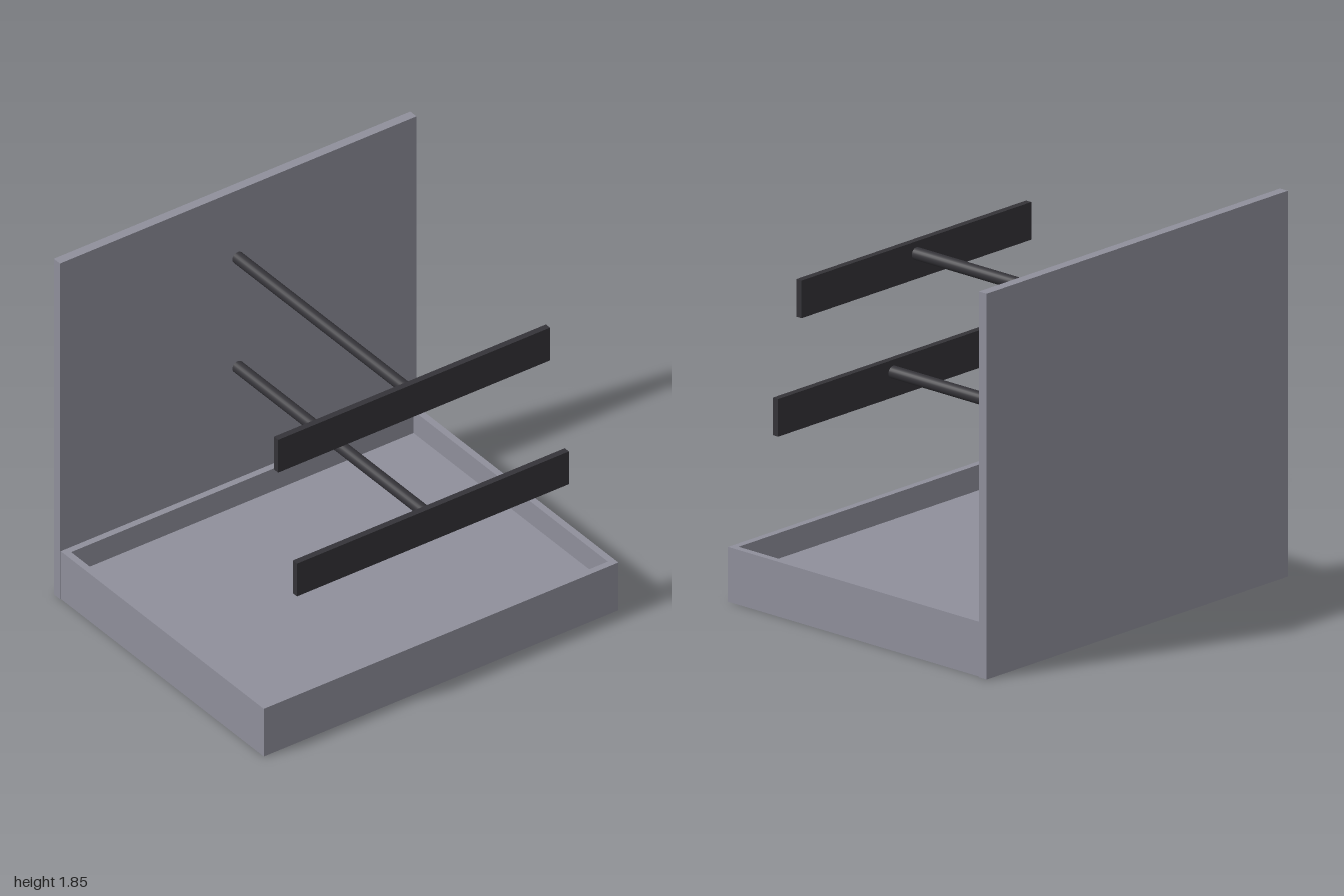
import * as THREE from 'three';

const grey = new THREE.MeshStandardMaterial({ color: 0x8f8f9b });
grey.name = 'panel grey';
const dark = new THREE.MeshStandardMaterial({ color: 0x343338 });
dark.name = 'dark charcoal';

function add(parent, name, geometry, material, x, y, z) {
  const mesh = new THREE.Mesh(geometry, material);
  mesh.name = name;
  mesh.position.set(x, y, z);
  parent.add(mesh);
  return mesh;
}

// Rectangle outline, drawn on the ground plane
function rectangle(Type, x0, x1, y0, y1) {
  return new Type([[x0, y0], [x1, y0], [x1, y1], [x0, y1]].map(([x, y]) => new THREE.Vector2(x, y)));
}

export function createModel() {
  const model = new THREE.Group();
  model.name = 'displayStand';
  const panelFront = -0.757;

  // Upright back panel
  add(model, 'backPanel', new THREE.BoxGeometry(2, 1.845, 0.048), grey, 0, 0.9225, -0.781);

  // Open tray: floor slab below a rectangular rim
  const tray = new THREE.Group();
  tray.name = 'tray';
  const floorY = 0.14, rimY = 0.262;
  const x0 = -0.996, x1 = 0.992, z1 = 0.805, wall = 0.034;
  const outline = rectangle(THREE.Shape, x0, x1, -z1, -panelFront);
  const slab = new THREE.ExtrudeGeometry(outline, { depth: floorY, bevelEnabled: false });
  add(tray, 'trayFloor', slab.rotateX(-Math.PI / 2), grey, 0, 0, 0);
  const rim = rectangle(THREE.Shape, x0, x1, -z1, -panelFront);
  rim.holes.push(rectangle(THREE.Path, x0 + wall, x1 - wall, -z1 + wall, -panelFront - wall));
  const walls = new THREE.ExtrudeGeometry(rim, { depth: rimY - floorY, bevelEnabled: false });
  add(tray, 'trayRim', walls.rotateX(-Math.PI / 2), grey, 0, floorY, 0);
  model.add(tray);

  // Two arms, each a round rod carrying a flat crossbar
  const arms = [
    { name: 'upperArm', rodY: 1.475, barZ: 0.583 },
    { name: 'lowerArm', rodY: 0.875, barZ: 0.728 },
  ];
  for (const { name, rodY, barZ } of arms) {
    const arm = new THREE.Group();
    arm.name = name;
    const length = barZ - panelFront;
    const rod = new THREE.CylinderGeometry(0.03, 0.03, length, 24).rotateX(Math.PI / 2);
    add(arm, 'rod', rod, dark, -0.003, rodY, panelFront + length / 2);
    add(arm, 'crossbar', new THREE.BoxGeometry(1.525, 0.18, 0.032), dark, -0.003, rodY - 0.032, barZ);
    model.add(arm);
  }
  return model;
}
